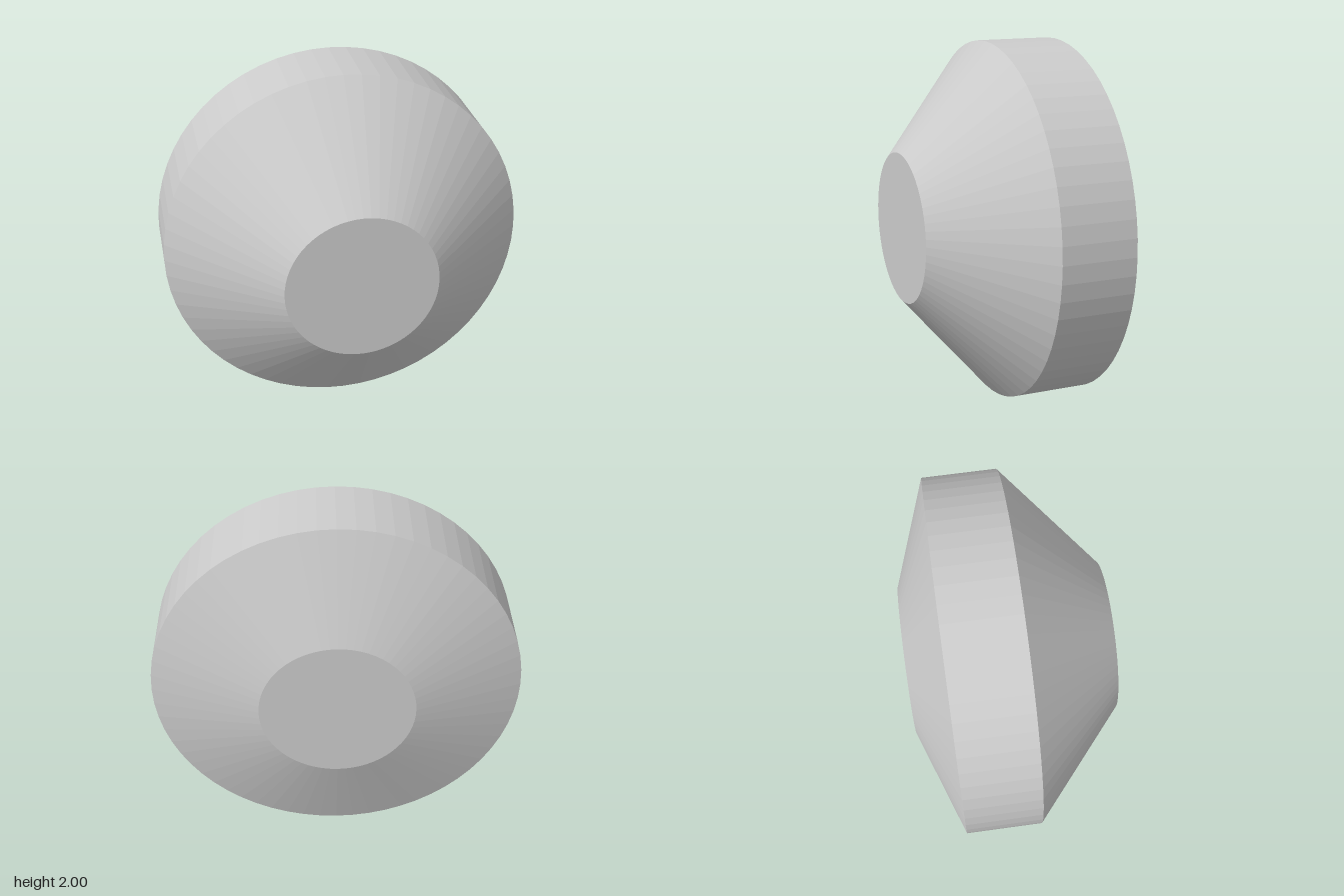
import * as THREE from 'three';

const SIDES = 64;
const RIM = 1;      // outer radius
const FACE = 0.417; // radius of the flat end faces

export function createModel() {
  const group = new THREE.Group();
  group.name = 'bevelledWheel';
  const material = new THREE.MeshStandardMaterial({ color: 0xcccccc, flatShading: true });

  const add = (name, geometry, z) => {
    const mesh = new THREE.Mesh(geometry, material);
    mesh.name = name;
    mesh.position.set(0, 1, z);
    group.add(mesh);
  };

  // Open ring around the z axis, from the front radius to the back radius
  const band = (name, frontRadius, backRadius, frontZ, backZ) => {
    const geometry = new THREE.CylinderGeometry(frontRadius, backRadius, frontZ - backZ, SIDES, 1, true);
    geometry.rotateX(Math.PI / 2);
    add(name, geometry, (frontZ + backZ) / 2);
  };

  // Deep front bevel, straight rim and shallow back bevel
  band('frontBevel', FACE, RIM, 0.562, 0.062);
  band('rim', RIM, RIM, 0.062, -0.354);
  band('backBevel', RIM, FACE, -0.354, -0.562);

  // Flat end faces
  add('frontFace', new THREE.CircleGeometry(FACE, SIDES), 0.562);
  add('backFace', new THREE.CircleGeometry(FACE, SIDES).rotateY(Math.PI), -0.562);

  return group;
}
